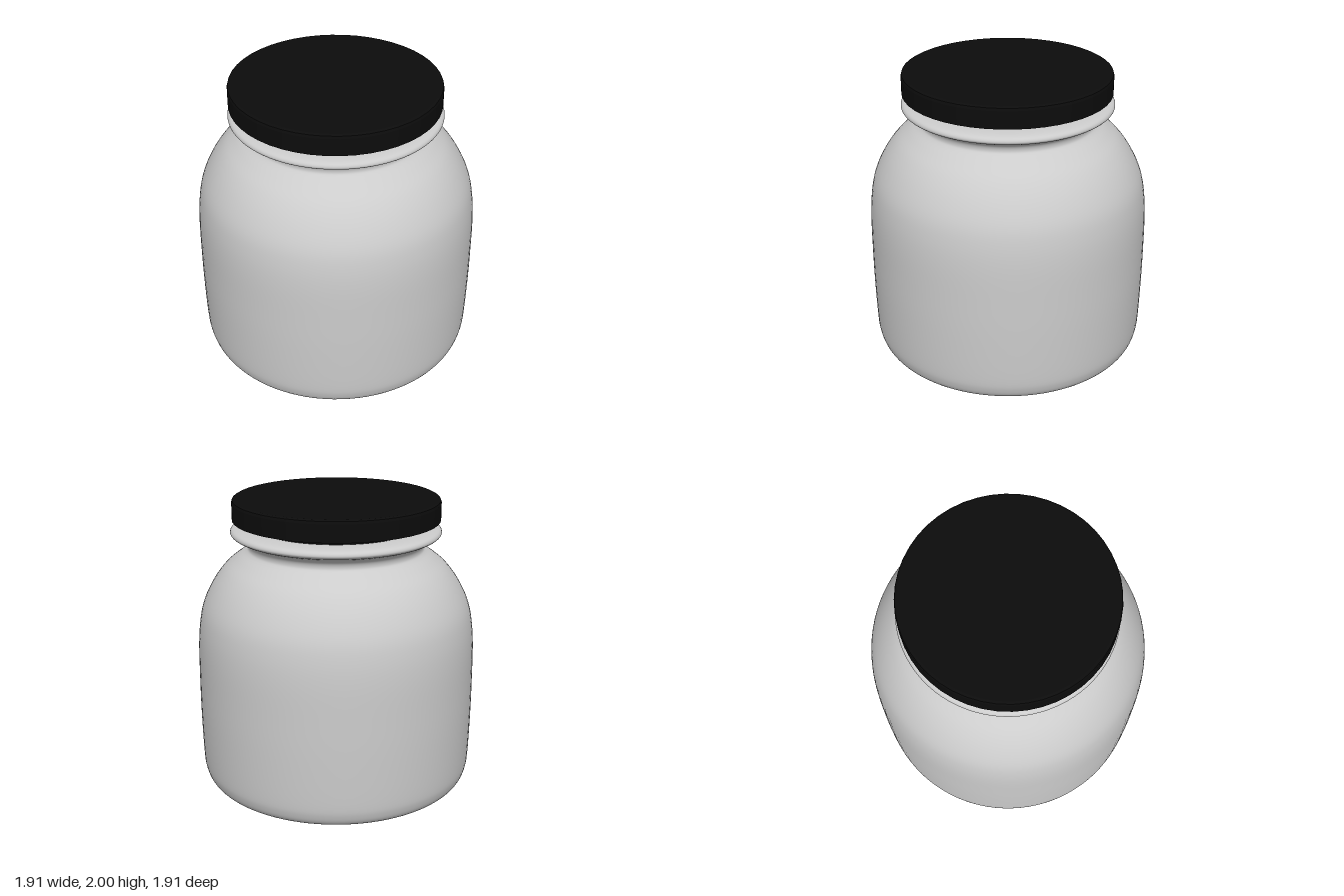
import * as THREE from 'three';

// Smooth curve through [radius, height] pairs
const curve = (pairs, divisions) =>
  new THREE.SplineCurve(pairs.map(([r, y]) => new THREE.Vector2(r, y))).getPoints(divisions);

const points = (pairs) => pairs.map(([r, y]) => new THREE.Vector2(r, y));

function turned(name, profile, sides, material) {
  const mesh = new THREE.Mesh(new THREE.LatheGeometry(profile, sides), material);
  mesh.name = name;
  return mesh;
}

export function createModel() {
  const group = new THREE.Group();
  group.name = 'jarWithLid';
  const glass = new THREE.MeshStandardMaterial({ color: 0xcccccc, side: THREE.DoubleSide });
  const black = new THREE.MeshStandardMaterial({ color: 0x0c0c0c, flatShading: true });

  // Jar: nearly flat base, rounded foot, straight wall, domed shoulder, waisted neck
  const body = curve([
    [0.8, 0.013], [0.86, 0.02], [0.905, 0.045], [0.932, 0.1], [0.945, 0.2],
    [0.952, 0.5], [0.952, 0.75], [0.948, 1.0], [0.932, 1.17], [0.9, 1.3],
    [0.835, 1.43], [0.755, 1.535], [0.67, 1.605], [0.61, 1.645], [0.592, 1.67],
    [0.6, 1.705], [0.64, 1.735], [0.69, 1.755], [0.71, 1.775], [0.695, 1.8],
    [0.64, 1.813], [0.56, 1.815], [0.53, 1.79],
  ], 110);
  const base = points([[0, 0], [0.3, 0.004], [0.6, 0.009]]);
  group.add(turned('jar', [...base, ...body], 96, glass));

  // Lid: wide disc with a small top bevel, over a tapered stopper
  const lid = new THREE.Group();
  lid.name = 'lid';
  lid.position.x = -0.005;
  lid.add(
    turned('lidCap', points([
      [0, 1.858], [0.7, 1.858], [0.7, 1.975], [0.695, 1.992], [0.68, 2], [0, 2],
    ]), 48, black),
    turned('lidStopper', points([[0, 1.77], [0.53, 1.77], [0.56, 1.86]]), 48, black),
  );
  group.add(lid);
  return group;
}
